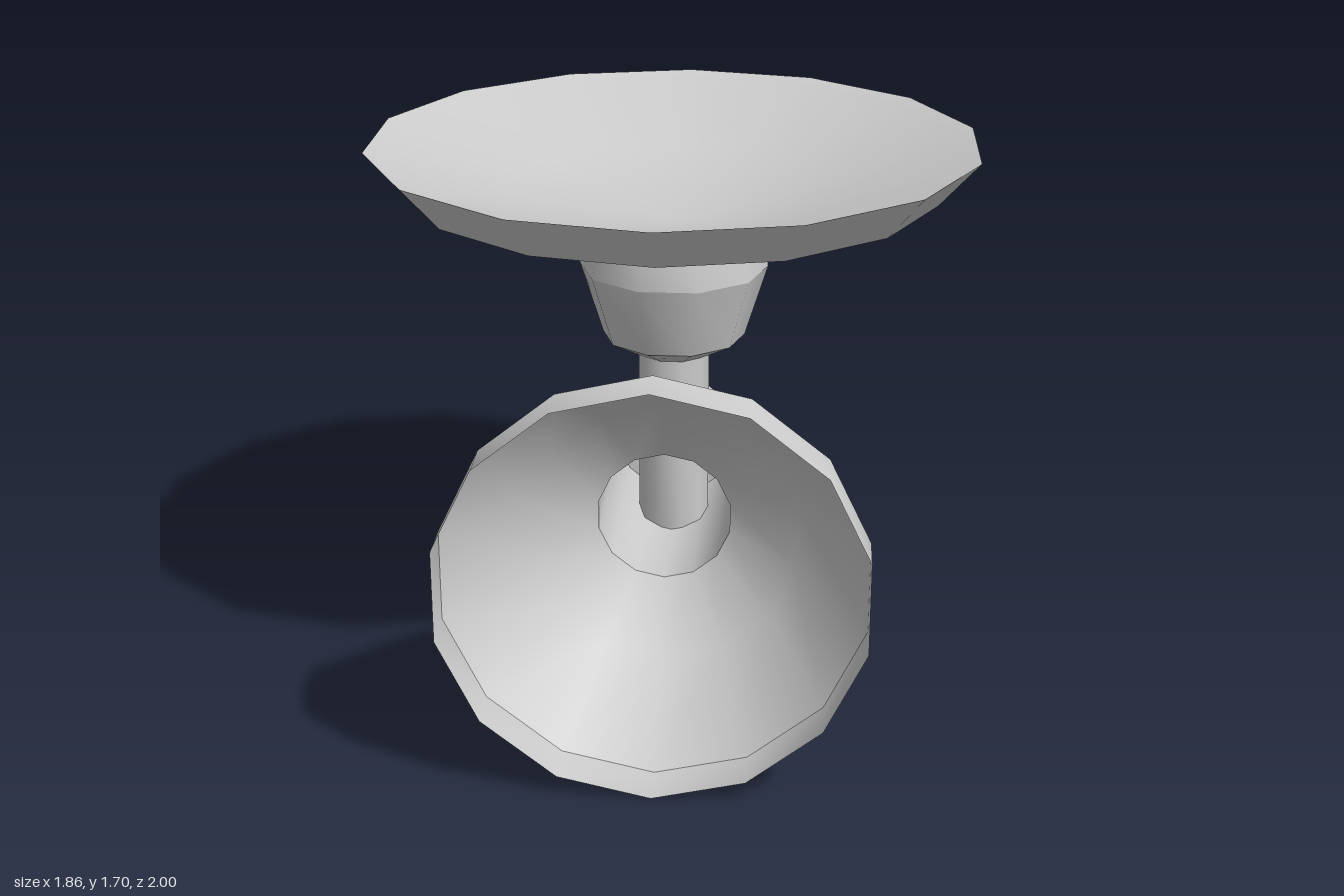
import * as THREE from 'three';
import { toCreasedNormals } from 'three/addons/utils/BufferGeometryUtils.js';

const AXIS_Z = -0.045; // vertical axis of dish and stem
const TUBE_Y = 0.6425; // height of the horizontal horn axis

const material = new THREE.MeshStandardMaterial({ color: 0xcccccc, side: THREE.DoubleSide });

// Turned part from [radius, height] pairs, listed bottom to top
function turned(name, profile, sides, start, crease) {
  const points = profile.map(([r, y]) => new THREE.Vector2(r, y));
  const geometry = toCreasedNormals(new THREE.LatheGeometry(points, sides, start), crease);
  const mesh = new THREE.Mesh(geometry, material);
  mesh.name = name;
  return mesh;
}

const wide = (name, profile) => turned(name, profile, 14, 0, 0.55);
const small = (name, profile) => turned(name, profile, 10, Math.PI / 2, 0.7);

export function createModel() {
  const model = new THREE.Group();
  model.name = 'dishAndHorn';

  // Upright assembly: dish on a cup, stem and bottom knob
  const upright = new THREE.Group();
  upright.name = 'uprightAssembly';
  upright.position.z = AXIS_Z;
  upright.add(
    wide('dishOuter', [[0, 1.42], [0.25, 1.42], [0.83, 1.57], [0.955, 1.71]]),
    wide('dishRim', [[0.955, 1.71], [0.925, 1.7]]),
    wide('dishBowl', [[0.925, 1.7], [0.5, 1.56], [0, 1.45]]),
    small('collar', [[0.298, 1.31], [0.28, 1.42], [0, 1.42]]),
    small('cup', [[0, 1.02], [0.113, 1.02], [0.226, 1.08], [0.298, 1.31]]),
    small('stem', [[0.113, 0.38], [0.113, 1.04]]),
    small('knob', [[0, 0.27], [0.145, 0.27], [0.175, 0.34], [0.113, 0.4], [0, 0.4]]),
  );
  model.add(upright);

  // Horizontal assembly: tube closed at the back, flaring into an open horn
  const horizontal = new THREE.Group();
  horizontal.name = 'hornAssembly';
  horizontal.position.y = TUBE_Y;
  horizontal.rotation.x = Math.PI / 2;
  horizontal.add(
    wide('tube', [[0, -0.25], [0.207, -0.25], [0.207, 0.41]]),
    wide('horn', [[0.207, 0.41], [0.42, 0.545], [0.637, 0.855], [0.637, 1]]),
  );
  model.add(horizontal);

  return model;
}
